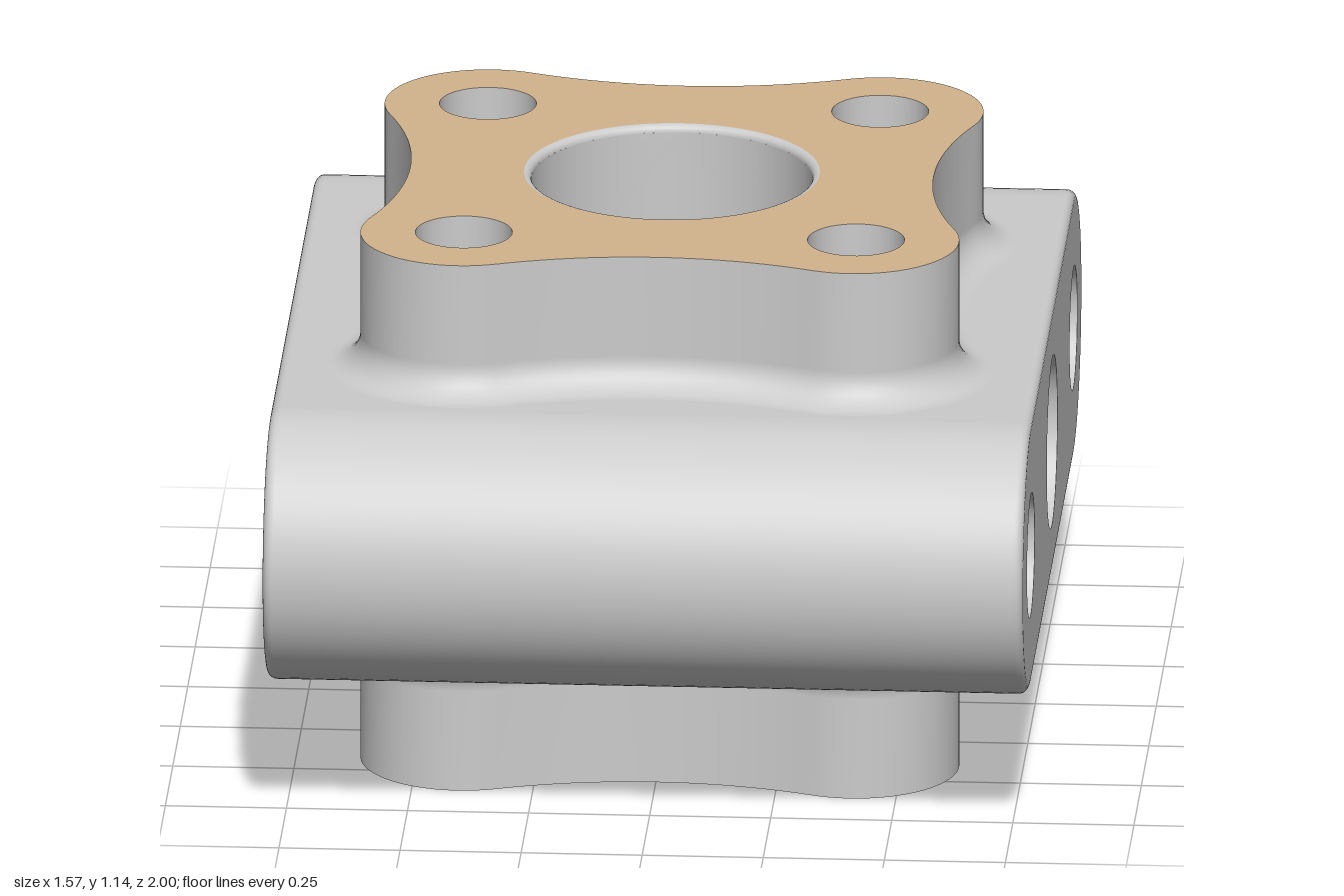
import * as THREE from 'three';

const H = 1.145, MID = H / 2;                    // overall height, centre height
const BODY = { x: 0.785, z: 0.7135, r: 0.2865, edge: 0.02 };
const LOBE = { c: 0.405, r: 0.213 };             // flange corner lobes
const WAIST = { r: 0.877, d: 1.417 };            // concave flange sides
const FILLET = 0.07, BORE = 0.29, BORE_EDGE = 0.015, CROSS = 0.18;
const BOLT_R = 0.1, SIDE = { z: 0.715, r: 0.13 };

const lerp = THREE.MathUtils.lerp;
const grey = new THREE.MeshStandardMaterial({ color: 0xcccccc });
const tan = new THREE.MeshStandardMaterial({ color: 0xd2b48c });

// Smooth skin through rows of points
function loft(rows, closed = true) {
  const n = rows[0].length, index = [];
  for (let i = 0; i < rows.length - 1; i++) {
    for (let j = 0; j < (closed ? n : n - 1); j++) {
      const k = (j + 1) % n;
      const a = i * n + j, b = i * n + k, c = a + n, d = b + n;
      index.push(a, b, d, a, d, c);
    }
  }
  const geo = new THREE.BufferGeometry();
  geo.setAttribute('position', new THREE.Float32BufferAttribute(rows.flat(2), 3));
  geo.setIndex(index);
  geo.computeVertexNormals();
  return geo;
}

function add(group, name, geo, material = grey) {
  const mesh = new THREE.Mesh(geo, material);
  mesh.name = name;
  group.add(mesh);
  return mesh;
}

function arc(cx, cy, r, from, to, n, out = []) {
  for (let i = 0; i <= n; i++) {
    const a = lerp(from, to, i / n);
    out.push([cx + r * Math.cos(a), cy + r * Math.sin(a)]);
  }
  return out;
}
const circle = (cx, cy, r, n = 64) => arc(cx, cy, r, 0, 2 * Math.PI, n).slice(0, -1);

// Four-lobed flange outline, grown outward by d
function flangeOutline(d) {
  const phi = Math.atan2(LOBE.c, WAIST.d - LOBE.c);
  const quarter = [
    ...arc(LOBE.c, LOBE.c, LOBE.r + d, -phi, Math.PI / 2 + phi, 28),
    ...arc(0, WAIST.d, WAIST.r - d, -Math.PI / 2 + phi, -Math.PI / 2 - phi, 20).slice(1, -1),
  ];
  const pts = [];
  for (let k = 0; k < 4; k++) {
    const c = Math.round(Math.cos(k * Math.PI / 2)), s = Math.round(Math.sin(k * Math.PI / 2));
    for (const [x, y] of quarter) pts.push([x * c - y * s, x * s + y * c]);
  }
  return pts;
}

const stadium = r => [
  ...arc(BODY.z, 0, r, -Math.PI / 2, Math.PI / 2, 40),
  ...arc(-BODY.z, 0, r, Math.PI / 2, Math.PI * 1.5, 40),
];

// Place a 2D outline level at height y, or upright at position x
const level = (pts, y) => pts.map(([u, v]) => [u, y, -v]);
const upright = (pts, x) => pts.map(([z, y]) => [x, MID + y, z]);

function plate(outer, holes) {
  const vec = pts => pts.map(p => new THREE.Vector2(...p));
  const shape = new THREE.Shape(vec(outer));
  shape.holes = holes.map(h => new THREE.Path(vec(h)));
  return new THREE.ShapeGeometry(shape);
}

const boltCentres = [[1, 1], [-1, 1], [-1, -1], [1, -1]].map(p => p.map(v => v * LOBE.c));

// One flange with its fillet, mounting face and the flat of the body around it
function buildFlange(top) {
  const g = new THREE.Group();
  g.name = top ? 'topFlange' : 'bottomFlange';
  const y = v => (top ? v : H - v);
  const order = rows => (top ? rows : rows.reverse());
  const flatY = MID + BODY.r;

  const wall = [];
  for (let i = 0; i <= 12; i++) {
    const t = i / 12 * Math.PI / 2;
    wall.push(level(flangeOutline(FILLET * (1 - Math.sin(t))), y(flatY + FILLET * (1 - Math.cos(t)))));
  }
  wall.push(level(flangeOutline(0), y(H)));
  add(g, 'flangeWall', loft(order(wall)));

  const lip = [];
  for (let i = 0; i <= 6; i++) {
    const t = (1 - i / 6) * Math.PI / 2;
    lip.push(level(circle(0, 0, BORE + BORE_EDGE * (1 - Math.cos(t)), 96),
      y(H - BORE_EDGE * (1 - Math.sin(t)))));
  }
  add(g, 'boreLip', loft(order(lip)));

  const turn = top ? -Math.PI / 2 : Math.PI / 2;
  const holes = boltCentres.map(([x, z]) => circle(x, z, BOLT_R));
  holes.push(circle(0, 0, BORE + BORE_EDGE, 96));
  add(g, 'mountingFace', plate(flangeOutline(0), holes).rotateX(turn), tan).position.y = y(H);

  const x = BODY.x - BODY.edge, z = BODY.z;
  const rect = [[-x, -z], [x, -z], [x, z], [-x, z]];
  add(g, 'bodyFlat', plate(rect, [flangeOutline(FILLET)]).rotateX(turn)).position.y = y(flatY);
  return g;
}

// Half of the body: an end face, a rounded side, and half the bores
function buildHalf(name) {
  const g = new THREE.Group();
  g.name = name;
  const e = BODY.edge;

  const rim = [];
  for (let i = 0; i <= 6; i++) {
    const t = i / 6 * Math.PI / 2;
    rim.push(upright(stadium(BODY.r - e * (1 - Math.sin(t))), BODY.x - e * (1 - Math.cos(t))));
  }
  add(g, 'roundedRim', loft(rim));

  const side = arc(BODY.z, 0, BODY.r, -Math.PI / 2, Math.PI / 2, 40);
  add(g, 'roundedSide', loft([upright(side, BODY.x - e), upright(side, e - BODY.x)], false));

  // Rays run from a half-cylinder's border to the cross bore's mouth
  const N = 40, border = [];
  const w = Math.PI / 2, h = MID - BORE_EDGE;
  const corners = [[w, -h], [w, h], [-w, h], [-w, -h]];
  corners.forEach((p, k) => {
    const q = corners[(k + 1) % 4];
    for (let i = 0; i < N; i++) border.push([lerp(p[0], q[0], i / N), lerp(p[1], q[1], i / N)]);
  });
  const mouth = border.map(([th, y]) => {
    const a = Math.atan2(y, th * BORE);
    return [CROSS * Math.cos(a), CROSS * Math.sin(a)];
  });
  const wall = [];
  for (let k = 0; k <= 24; k++) {
    wall.push(border.map(([th, y], j) => {
      const t = lerp(th, Math.asin(mouth[j][0] / BORE), k / 24);
      return [BORE * Math.cos(t), MID + lerp(y, mouth[j][1], k / 24), BORE * Math.sin(t)];
    }));
  }
  add(g, 'boreWall', loft(wall));

  const inner = mouth.map(([z, y]) => [Math.sqrt(BORE * BORE - z * z), MID + y, z]);
  add(g, 'crossBore', loft([inner, upright(mouth, BODY.x)]));

  const holes = [SIDE.z, -SIDE.z].map(z => circle(z, 0, SIDE.r));
  holes.push(mouth);
  add(g, 'endFace', plate(stadium(BODY.r - e), holes).rotateY(Math.PI / 2)).position.set(BODY.x, MID, 0);
  return g;
}

export function createModel() {
  const model = new THREE.Group();
  model.name = 'flangedBlock';

  const left = buildHalf('leftHalf'), right = buildHalf('rightHalf');
  right.rotation.y = Math.PI;
  model.add(left, right, buildFlange(true), buildFlange(false));

  // Through holes
  for (const [x, z] of boltCentres) {
    const c = circle(x, z, BOLT_R);
    add(model, 'boltHole', loft([level(c, H), level(c, 0)]));
  }
  for (const z of [SIDE.z, -SIDE.z]) {
    const c = circle(z, 0, SIDE.r);
    add(model, 'sideHole', loft([upright(c, -BODY.x), upright(c, BODY.x)]));
  }
  return model;
}
